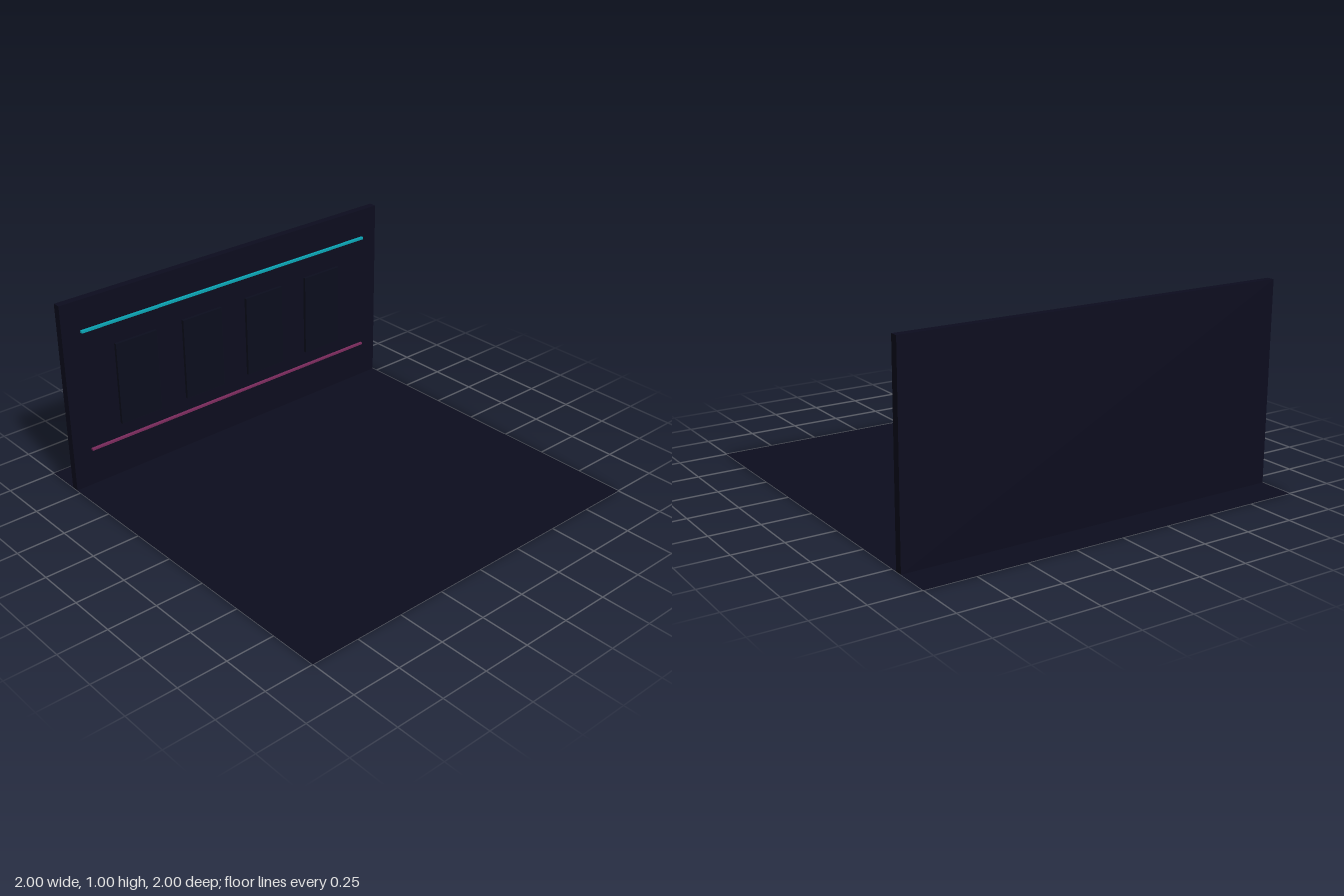
import * as THREE from 'three';

const material = (name, color, side = THREE.FrontSide) => {
  const m = new THREE.MeshStandardMaterial({ color, side });
  m.name = name;
  return m;
};

export function createModel() {
  const model = new THREE.Group();
  model.name = 'stageBackdrop';

  const floorNavy = material('floorNavy', 0x0c0d1e, THREE.DoubleSide);
  const wallNavy = material('wallNavy', 0x0c0c1e);
  const panelNavy = material('panelNavy', 0x0b0d1d);
  const cyan = material('cyan', 0x0aa5b5);
  const magenta = material('magenta', 0x7a2a5c);

  const addBox = (name, mat, [w, h, d], [x, y, z]) => {
    const mesh = new THREE.Mesh(new THREE.BoxGeometry(w, h, d), mat);
    mesh.name = name;
    mesh.position.set(x, y, z);
    model.add(mesh);
  };

  // Thin square floor
  const floor = new THREE.Mesh(new THREE.PlaneGeometry(2, 2), floorNavy);
  floor.name = 'floor';
  floor.rotation.x = -Math.PI / 2;
  model.add(floor);

  // Back wall, set in from the rear edge of the floor
  addBox('backWall', wallNavy, [2, 1, 0.04], [0, 0.5, -0.8]);

  // Four raised panels on the front of the wall
  for (let i = 0; i < 4; i++) {
    addBox(`wallPanel${i + 1}`, panelNavy, [0.24, 0.44, 0.02], [-0.6 + i * 0.4, 0.5, -0.775]);
  }

  // Light strips above and below the panels
  addBox('upperLightStrip', cyan, [1.8, 0.012, 0.02], [0, 0.84, -0.775]);
  addBox('lowerLightStrip', magenta, [1.8, 0.01, 0.02], [0, 0.2, -0.775]);

  return model;
}
